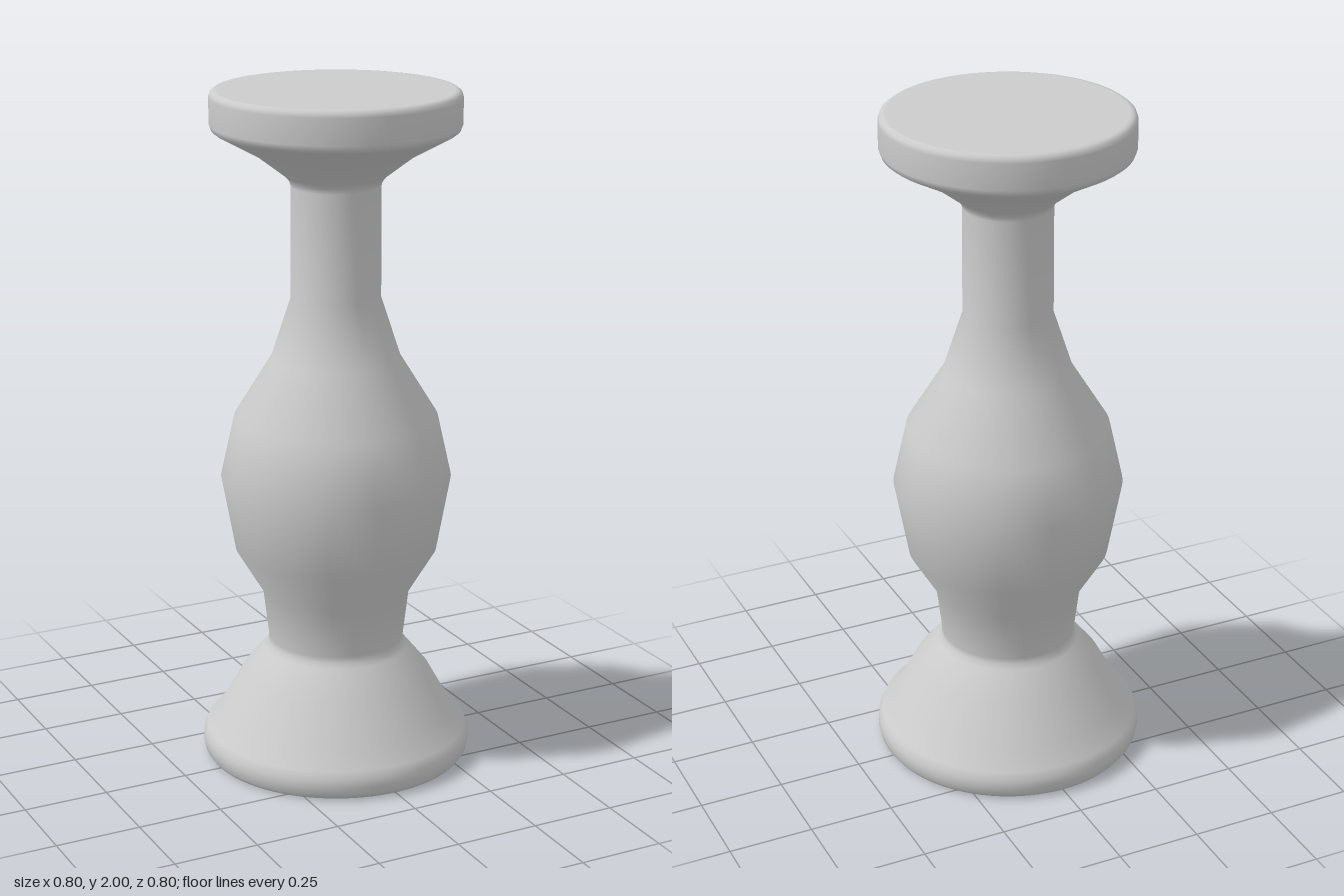
import * as THREE from 'three';

// Outline as [radius, height], from the underside up to the top plate
const foot = [[0, 0], [0.375, 0], [0.385, 0.002], [0.395, 0.015], [0.4, 0.04], [0.398, 0.062], [0.387, 0.087], [0.344, 0.135], [0.28, 0.25], [0.212, 0.333]];
const belly = [[0.201, 0.348], [0.2, 0.365], [0.217, 0.51], [0.297, 0.644], [0.337, 0.866], [0.297, 1.046], [0.187, 1.225]];
const neck = [[0.13, 1.4], [0.129, 1.725], [0.133, 1.74], [0.145, 1.755]];
const plate = [[0.23, 1.82], [0.34, 1.88], [0.352, 1.889], [0.358, 1.905], [0.358, 1.98], [0.354, 1.992], [0.345, 1.999], [0.335, 2], [0, 2]];

export function createModel() {
  const group = new THREE.Group();
  group.name = 'candleholder';

  // One continuous turned body, smooth shaded
  const profile = [...foot, ...belly, ...neck, ...plate].map(([r, y]) => new THREE.Vector2(r, y));
  const body = new THREE.Mesh(
    new THREE.LatheGeometry(profile, 96),
    new THREE.MeshStandardMaterial({ color: 0xcccccc })
  );
  body.name = 'turnedBody';
  group.add(body);
  return group;
}
